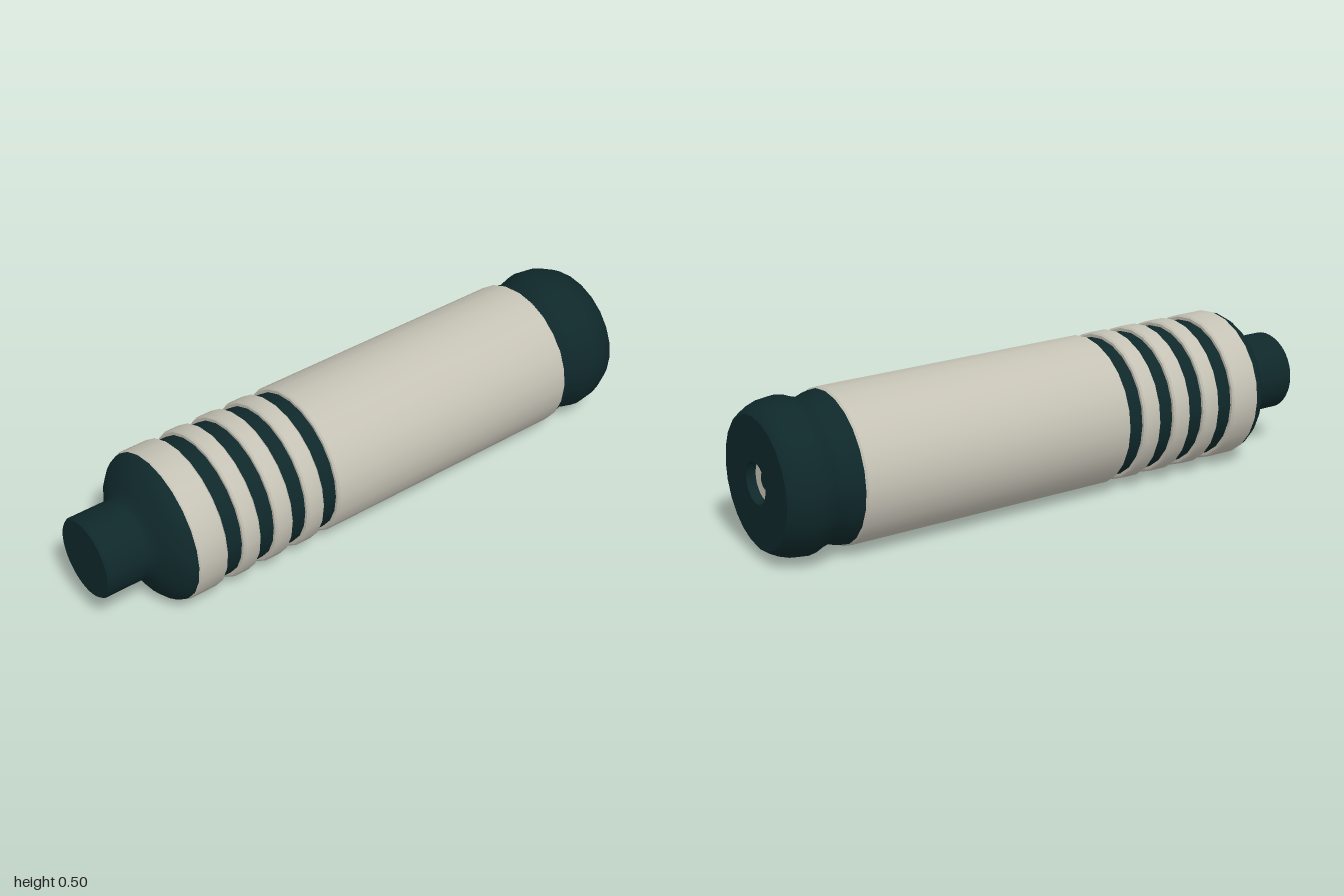
import * as THREE from 'three';
import { toCreasedNormals } from 'three/addons/utils/BufferGeometryUtils.js';

const R = 0.252, GROOVE = 0.236;

export function createModel() {
  const model = new THREE.Group();
  const dark = new THREE.MeshStandardMaterial({ name: 'dark teal', color: 0x0f282a });
  const pale = new THREE.MeshStandardMaterial({ name: 'warm grey', color: 0xc5c2b5 });

  // Turned part along z; profile is [radius, z] from back to front
  function turned(name, material, profile, sides = 24) {
    const points = profile.map(([r, z]) => new THREE.Vector2(r, z));
    const geometry = toCreasedNormals(new THREE.LatheGeometry(points, sides), 0.6);
    geometry.rotateX(Math.PI / 2);
    const mesh = new THREE.Mesh(geometry, material);
    mesh.name = name;
    mesh.position.y = R;
    model.add(mesh);
    return mesh;
  }

  // Pale sleeve and rings, each with a small bevel
  function band(name, back, front) {
    turned(name, pale, [
      [0.2, back], [R - 0.006, back], [R, back + 0.006],
      [R, front - 0.006], [R - 0.006, front], [0.2, front],
    ]);
  }
  band('bodySleeve', -0.755, 0.22);
  [[0.275, 0.341], [0.397, 0.463], [0.52, 0.584], [0.643, 0.752]]
    .forEach(([back, front], i) => band('gripRing' + (i + 1), back, front));

  // Dark core showing in the grooves
  turned('grooveCore', dark, [[GROOVE, 0.2], [GROOVE, 0.66]]);

  // Flared nose and front plug
  turned('nose', dark, [
    [R - 0.004, 0.75], [0.246, 0.763], [0.232, 0.783], [0.21, 0.802],
    [0.165, 0.827], [0.142, 0.838], [0.134, 0.85],
  ]);
  turned('frontPlug', dark, [[0.134, 0.83], [0.134, 0.992], [0.128, 1], [0, 1]], 48);

  // Waisted end cap with a shallow socket at the back
  turned('endCap', dark, [
    [0, -0.965], [0.068, -0.965], [0.068, -1], [0.212, -1], [0.22, -0.994],
    [0.236, -0.965], [0.248, -0.93], [R, -0.895], [0.248, -0.868],
    [0.238, -0.845], [0.232, -0.825], [0.234, -0.8], [0.243, -0.775], [R - 0.005, -0.755],
  ]);

  // Pale crescent inside the socket
  const crescent = new THREE.Mesh(
    new THREE.RingGeometry(0.03, 0.066, 16, 1, Math.PI / 2, Math.PI), pale);
  crescent.name = 'socketInlay';
  crescent.rotation.y = Math.PI;
  crescent.position.set(0, R, -0.968);
  model.add(crescent);

  return model;
}
